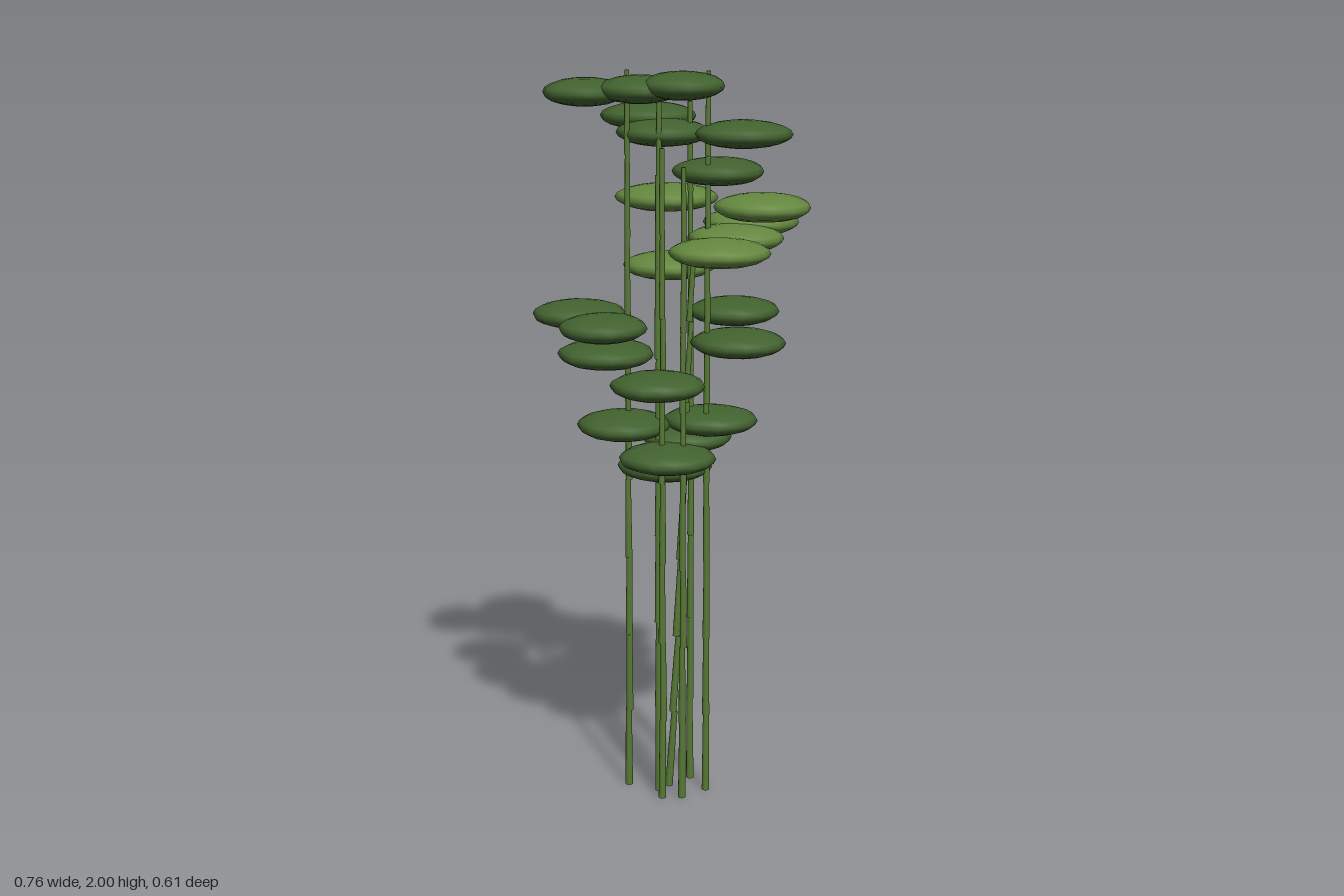
import * as THREE from 'three';

// small seeded generator for the irregular outlines
function seeded(seed) {
  let s = seed;
  return () => (s = (s * 16807) % 2147483647) / 2147483647;
}

function makeMaterial(name, color) {
  const material = new THREE.MeshStandardMaterial({ color });
  material.name = name;
  return material;
}

// flattened, slightly irregular ellipsoid
function clumpGeometry(rx, ry, rz, rand) {
  const sides = 14;
  const geometry = new THREE.SphereGeometry(1, sides, 10);
  const bumps = Array.from({ length: sides }, () => 0.965 + rand() * 0.055);
  const p = geometry.attributes.position;
  for (let i = 0; i < p.count; i++) {
    const k = bumps[(i % (sides + 1)) % sides];
    p.setXYZ(i, p.getX(i) * rx * k, p.getY(i) * ry, p.getZ(i) * rz * k);
  }
  geometry.computeVertexNormals();
  return geometry;
}

// cane made of stacked, tapering segments with small steps at the joints
function makeCane(x, z, height, lean, segment, material, rand) {
  const cane = new THREE.Group();
  cane.name = 'cane';
  const count = Math.round(height / segment);
  const length = height / count;
  for (let i = 0; i < count; i++) {
    const taper = 1 - 0.3 * (i / count);
    const geometry = new THREE.CylinderGeometry(0.0085 * taper, 0.0105 * taper, length, 8);
    const mesh = new THREE.Mesh(geometry, material);
    mesh.name = 'caneSegment';
    mesh.position.set(
      x + lean * (i + 0.5) * length + (rand() - 0.5) * 0.004,
      (i + 0.5) * length,
      z + (rand() - 0.5) * 0.004
    );
    mesh.rotation.z = -lean * 1.6 + (rand() - 0.5) * 0.015;
    cane.add(mesh);
  }
  return cane;
}

export function createModel() {
  const model = new THREE.Group();
  model.name = 'bambooGrove';
  const rand = seeded(4711);
  const darkLeaf = makeMaterial('dark leaf green', 0x42622f);
  const lightLeaf = makeMaterial('light leaf green', 0x64873f);
  const caneGreen = makeMaterial('cane green', 0x587a35);

  // canes: x, z, height, lean, segment length
  const canes = [
    [-0.11, 0.01, 1.995, 0, 0.23],
    [0.105, 0.035, 1.995, 0, 0.23],
    [0.055, -0.05, 1.91, 0, 0.24],
    [-0.025, 0.05, 1.97, 0, 0.24],
    [0.045, 0.1, 1.75, 0, 0.22],
    [-0.01, 0.105, 1.8, 0, 0.23],
    [-0.025, 0.0, 1.85, 0, 0.25],
    [0.005, 0.015, 1.55, 0.04, 0.22],
  ];
  for (const [x, z, height, lean, segment] of canes) {
    model.add(makeCane(x, z, height, lean, segment, caneGreen, rand));
  }

  // leaf clumps from top to bottom: x, y, z, x radius, z radius
  const upper = [
    [0.043, 1.962, 0.112, 0.113, 0.137],
    [-0.07, 1.95, 0.082, 0.112, 0.137],
    [-0.217, 1.94, 0.047, 0.116, 0.137],
    [-0.07, 1.86, -0.178, 0.132, 0.132],
    [0.197, 1.83, 0.02, 0.13, 0.132],
    [-0.022, 1.825, -0.07, 0.128, 0.132],
    [0.13, 1.725, -0.042, 0.125, 0.132],
  ];
  const middle = [
    [0.252, 1.65, 0.115, 0.13, 0.13],
    [-0.018, 1.64, -0.165, 0.142, 0.14],
    [0.212, 1.582, -0.108, 0.13, 0.127],
    [0.18, 1.555, 0.015, 0.13, 0.122],
    [0.145, 1.538, 0.178, 0.137, 0.13],
    [-0.01, 1.452, -0.168, 0.13, 0.134],
  ];
  const lower = [
    [0.17, 1.337, -0.11, 0.126, 0.127],
    [-0.255, 1.325, -0.1, 0.13, 0.127],
    [-0.168, 1.32, 0.088, 0.12, 0.13],
    [0.188, 1.275, 0.033, 0.128, 0.134],
    [-0.165, 1.243, 0.05, 0.13, 0.14],
    [-0.018, 1.18, 0.162, 0.128, 0.125],
    [0.112, 1.05, -0.02, 0.128, 0.125],
    [-0.12, 1.045, 0.035, 0.128, 0.134],
    [0.045, 1.0, -0.04, 0.126, 0.128],
    [0.005, 0.972, 0.11, 0.13, 0.132],
    [-0.012, 0.922, -0.01, 0.128, 0.123],
  ];
  const tiers = [[upper, darkLeaf], [middle, lightLeaf], [lower, darkLeaf]];
  for (const [tier, material] of tiers) {
    for (const [x, y, z, rx, rz] of tier) {
      const clump = new THREE.Mesh(clumpGeometry(rx, 0.037, rz, rand), material);
      clump.name = 'leafClump';
      clump.position.set(x, y, z);
      model.add(clump);
    }
  }
  return model;
}
